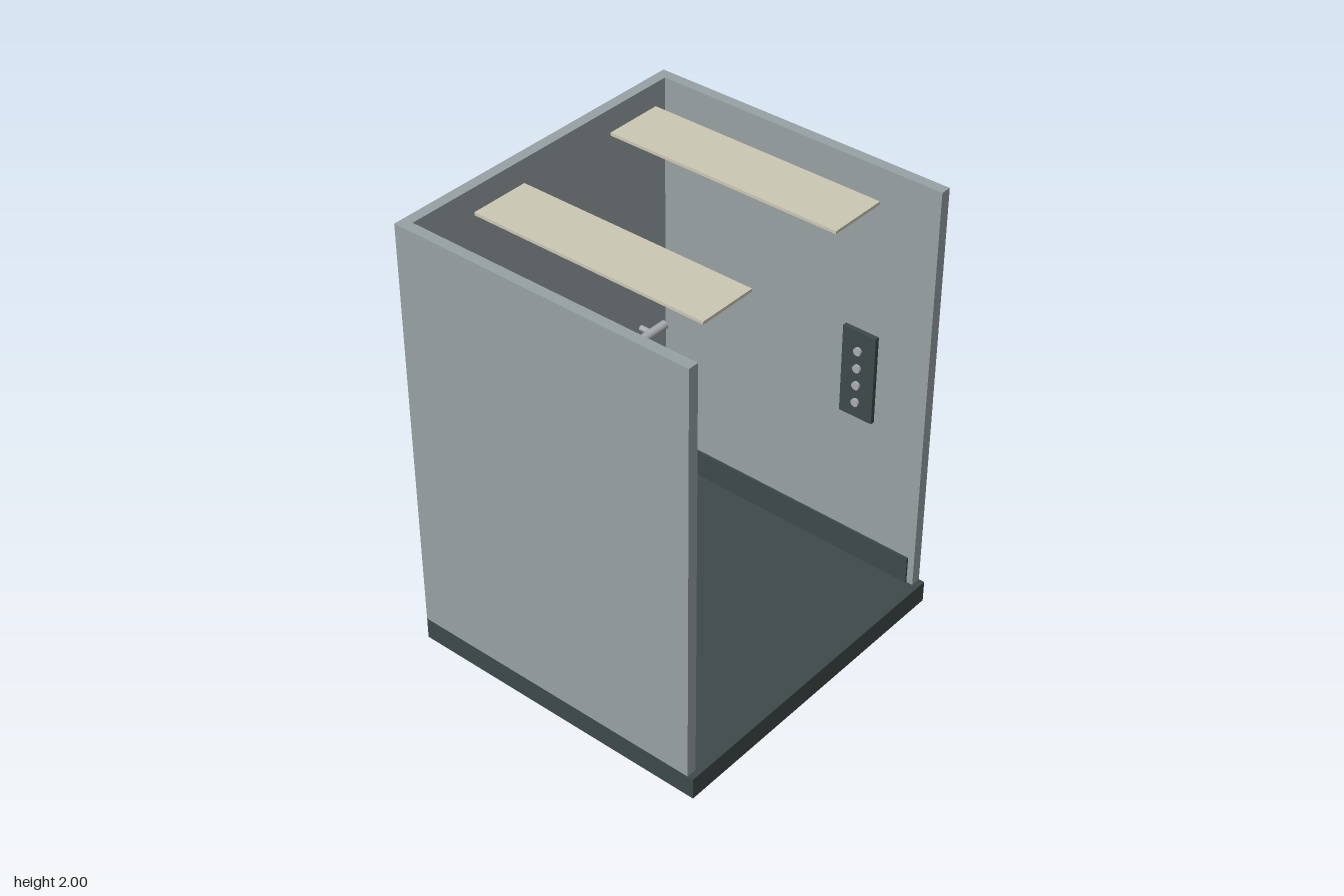
import * as THREE from 'three';

const paint = (name, color) => {
  const m = new THREE.MeshStandardMaterial({ color });
  m.name = name;
  return m;
};

export function createModel() {
  const steel = paint('brushed steel', 0x98a1a4);
  const dark = paint('dark slate', 0x3f4a4a);
  const cream = paint('warm light', 0xcdc8b5);
  const chrome = paint('polished rail', 0xa8adb0);

  const car = new THREE.Group();
  car.name = 'liftCar';

  const add = (name, geometry, material, x, y, z) => {
    const mesh = new THREE.Mesh(geometry, material);
    mesh.name = name;
    mesh.position.set(x, y, z);
    car.add(mesh);
    return mesh;
  };
  // Box given by its limits on each axis
  const box = (name, material, [x0, x1], [y0, y1], [z0, z1]) =>
    add(name, new THREE.BoxGeometry(x1 - x0, y1 - y0, z1 - z0), material,
      (x0 + x1) / 2, (y0 + y1) / 2, (z0 + z1) / 2);

  // Floor and back wall
  box('floor', dark, [-0.747, 0.747], [0, 0.1], [-0.707, 0.707]);
  box('backWall', steel, [-0.7, 0.7], [0.1, 2], [-0.707, -0.66]);

  // Parts mirrored left and right
  for (const [side, s] of [['left', 1], ['right', -1]]) {
    const span = (a, b) => (s > 0 ? [a, b] : [-b, -a]);
    box(side + 'Wall', steel, span(0.7, 0.747), [0.1, 2], [-0.707, 0.68]);
    box(side + 'KickPlate', dark, span(0.691, 0.7), [0.1, 0.23], [-0.66, 0.65]);
    box(side + 'CeilingLight', cream, span(0.24, 0.505), [1.987, 2], [-0.54, 0.54]);
    add(side + 'RailBracket', new THREE.CylinderGeometry(0.013, 0.013, 0.06, 16), chrome,
      s * 0.54, 0.88, -0.63).rotation.x = Math.PI / 2;
  }

  // Handrail along the back wall
  add('handrail', new THREE.CylinderGeometry(0.02, 0.02, 1.245, 24), chrome,
    0, 0.88, -0.6).rotation.z = Math.PI / 2;

  // Control panel with its column of round buttons
  box('controlPanel', dark, [0.677, 0.697], [0.83, 1.245], [0.28, 0.44]);
  for (let i = 0; i < 4; i++) {
    add('button' + (i + 1), new THREE.CylinderGeometry(0.018, 0.018, 0.012, 20), chrome,
      0.671, 0.905 + i * 0.083, 0.36).rotation.z = Math.PI / 2;
  }
  return car;
}
